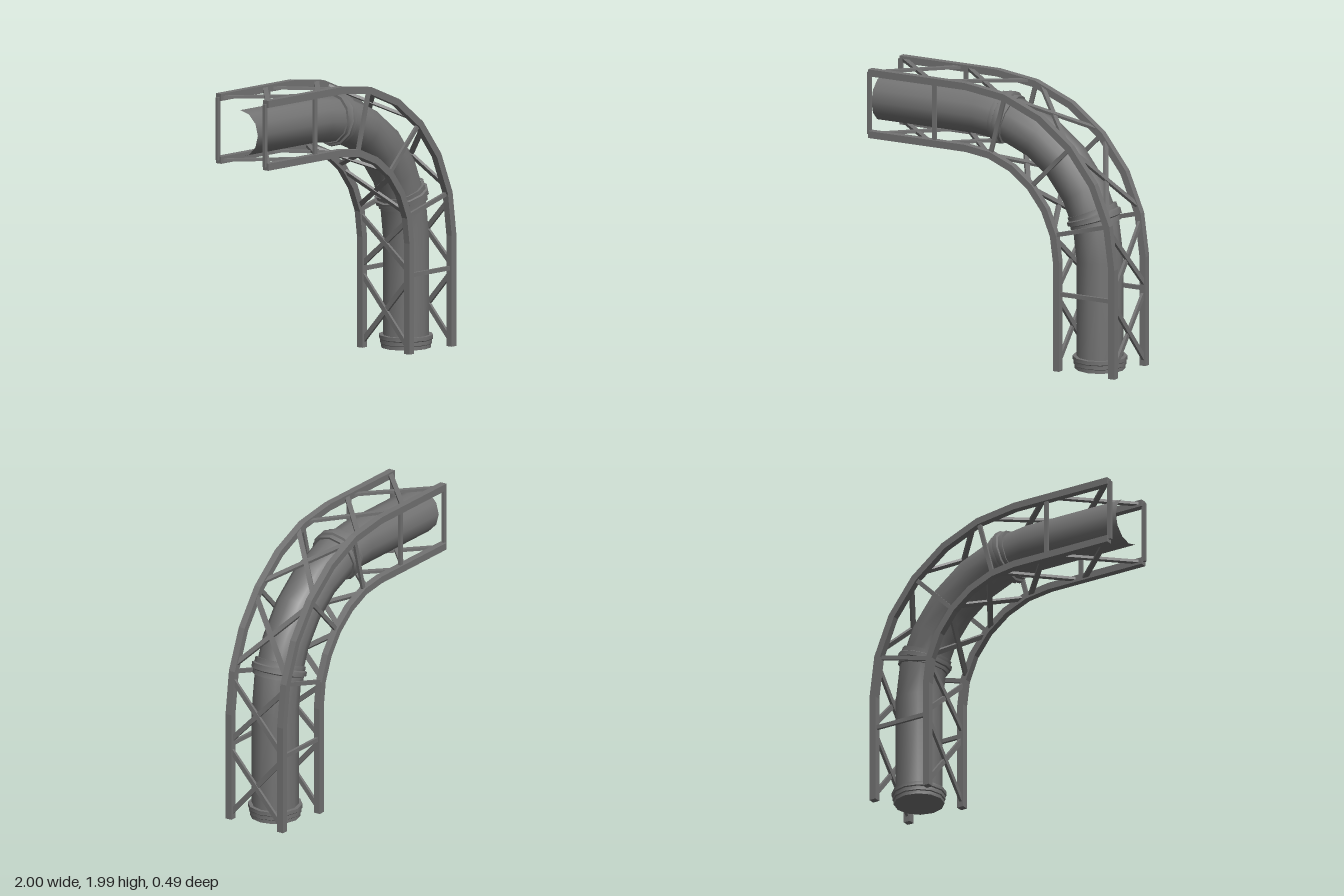
import * as THREE from 'three';
import { toCreasedNormals } from 'three/addons/utils/BufferGeometryUtils.js';

// Shared centre line: s < 0 is the horizontal run, 0..90 the bend in degrees, s > 90 the vertical run
const CX = -0.2, CY = 0.785;
const PIPE_R = 0.945, OUTER_R = 1.175, INNER_R = 0.73, SIDE_Z = 0.22;

function at(s, r, z) {
  const a = THREE.MathUtils.degToRad(THREE.MathUtils.clamp(s, 0, 90));
  const x = CX + r * Math.sin(a) + Math.min(s, 0);
  const y = CY + r * Math.cos(a) - Math.max(s - 90, 0);
  return new THREE.Vector3(x, y, z);
}

// Sweeps rings of [radial, z] points along the centre line; rings = [{ s, pts }]
function sweep(rings, radius, capStart, capEnd, crease) {
  const n = rings[0].pts.length, pos = [], idx = [];
  for (const { s, pts } of rings) {
    for (const [d, z] of pts) pos.push(...at(s, radius + d, z).toArray());
  }
  for (let i = 0; i < rings.length - 1; i++) {
    for (let j = 0; j < n; j++) {
      const k = (j + 1) % n;
      const a = i * n + j, b = i * n + k, c = b + n, d = a + n;
      idx.push(a, b, c, a, c, d);
    }
  }
  const last = (rings.length - 1) * n;
  for (let j = 1; j < n - 1; j++) {
    if (capStart) idx.push(0, j + 1, j);
    if (capEnd) idx.push(last, last + j, last + j + 1);
  }
  const geo = new THREE.BufferGeometry();
  geo.setAttribute('position', new THREE.Float32BufferAttribute(pos, 3));
  geo.setIndex(idx);
  geo.computeVertexNormals();
  return toCreasedNormals(geo, crease);
}

function circle(r, sides = 12) {
  return Array.from({ length: sides }, (_, j) => {
    const a = (j / sides) * Math.PI * 2;
    return [r * Math.cos(a), r * Math.sin(a)];
  });
}

// Straight flat bar from p to q; depthAxis is the direction of its thin side
function beam(p, q, width, depth, depthAxis) {
  const dir = q.clone().sub(p);
  const geo = new THREE.BoxGeometry(dir.length(), width, depth);
  const x = dir.normalize();
  const y = depthAxis.clone().cross(x).normalize();
  const z = x.clone().cross(y);
  const m = new THREE.Matrix4().makeBasis(x, y, z);
  m.setPosition(p.clone().add(q).multiplyScalar(0.5));
  return geo.applyMatrix4(m);
}

export function createModel() {
  const model = new THREE.Group();
  model.name = 'pipeInTruss';
  const steel = new THREE.MeshStandardMaterial({ color: 0x737373 });
  steel.name = 'grey steel';
  const add = (name, geo, parent = model) => {
    const mesh = new THREE.Mesh(geo, steel);
    mesh.name = name;
    parent.add(mesh);
  };
  const bend = [0, 15, 30, 45, 60, 75, 90];

  // Pipe, open at the horizontal end and closed at the foot
  const pipeRings = [-0.8, ...bend, 90.78].map((s) => ({ s, pts: circle(0.165) }));
  add('pipe', sweep(pipeRings, PIPE_R, false, true, 0.65));

  // Stepped collars around the bend
  const collarProfile = [[-6.5, 0.16], [-6.5, 0.18], [-4.6, 0.18], [-4.2, 0.195],
    [-2.2, 0.195], [-1.8, 0.18], [0, 0.18], [0, 0.16]];
  for (const station of [15, 75]) {
    const rings = collarProfile.map(([d, r]) => ({ s: station + d, pts: circle(r) }));
    add('collar', sweep(rings, PIPE_R, false, false, 0.65));
  }

  // Foot flange
  const footProfile = [[90.695, 0.16], [90.695, 0.192], [90.722, 0.192], [90.728, 0.185],
    [90.755, 0.185], [90.76, 0.178], [90.785, 0.178]];
  const footRings = footProfile.map(([s, r]) => ({ s, pts: circle(r) }));
  add('footFlange', sweep(footRings, PIPE_R, false, true, 0.65));

  // Four square rails
  const h = 0.025;
  for (const side of [-1, 1]) {
    const z = side * SIDE_Z;
    const square = [[h, z - h], [h, z + h], [-h, z + h], [-h, z - h]];
    const rings = [-0.78, ...bend, 90.785].map((s) => ({ s, pts: square }));
    add('outerRail', sweep(rings, OUTER_R, true, true, 0.1));
    add('innerRail', sweep(rings, INNER_R, true, true, 0.1));
  }

  // Side struts joining the inner and outer rails
  const stations = [-0.785, -0.26, 15, 45, 75, 90.23, 90.775];
  const struts = new THREE.Group();
  struts.name = 'sideStruts';
  model.add(struts);
  const zAxis = new THREE.Vector3(0, 0, 1);
  for (const s of stations.slice(0, -1)) {
    for (const z of [-SIDE_Z, SIDE_Z]) {
      add('sideStrut', beam(at(s, INNER_R, z), at(s, OUTER_R, z), 0.03, 0.02, zAxis), struts);
    }
  }

  // Crossed braces between the left and right rails in every panel
  const braces = new THREE.Group();
  braces.name = 'crossBraces';
  model.add(braces);
  const inset = (s) => (s > 0 && s < 90 ? 3 : 0.04);
  for (let i = 0; i < stations.length - 1; i++) {
    const s0 = stations[i] + inset(stations[i]);
    const s1 = stations[i + 1] - inset(stations[i + 1]);
    for (const r of [OUTER_R, INNER_R]) {
      const along = at(s1, r, 0).sub(at(s0, r, 0));
      const normal = new THREE.Vector3(-along.y, along.x, 0).normalize();
      for (const side of [-1, 1]) {
        const p = at(s0, r, side * 0.21).addScaledVector(normal, side * 0.003);
        const q = at(s1, r, -side * 0.21).addScaledVector(normal, side * 0.003);
        add('crossBrace', beam(p, q, 0.035, 0.02, normal), braces);
      }
    }
  }
  return model;
}
